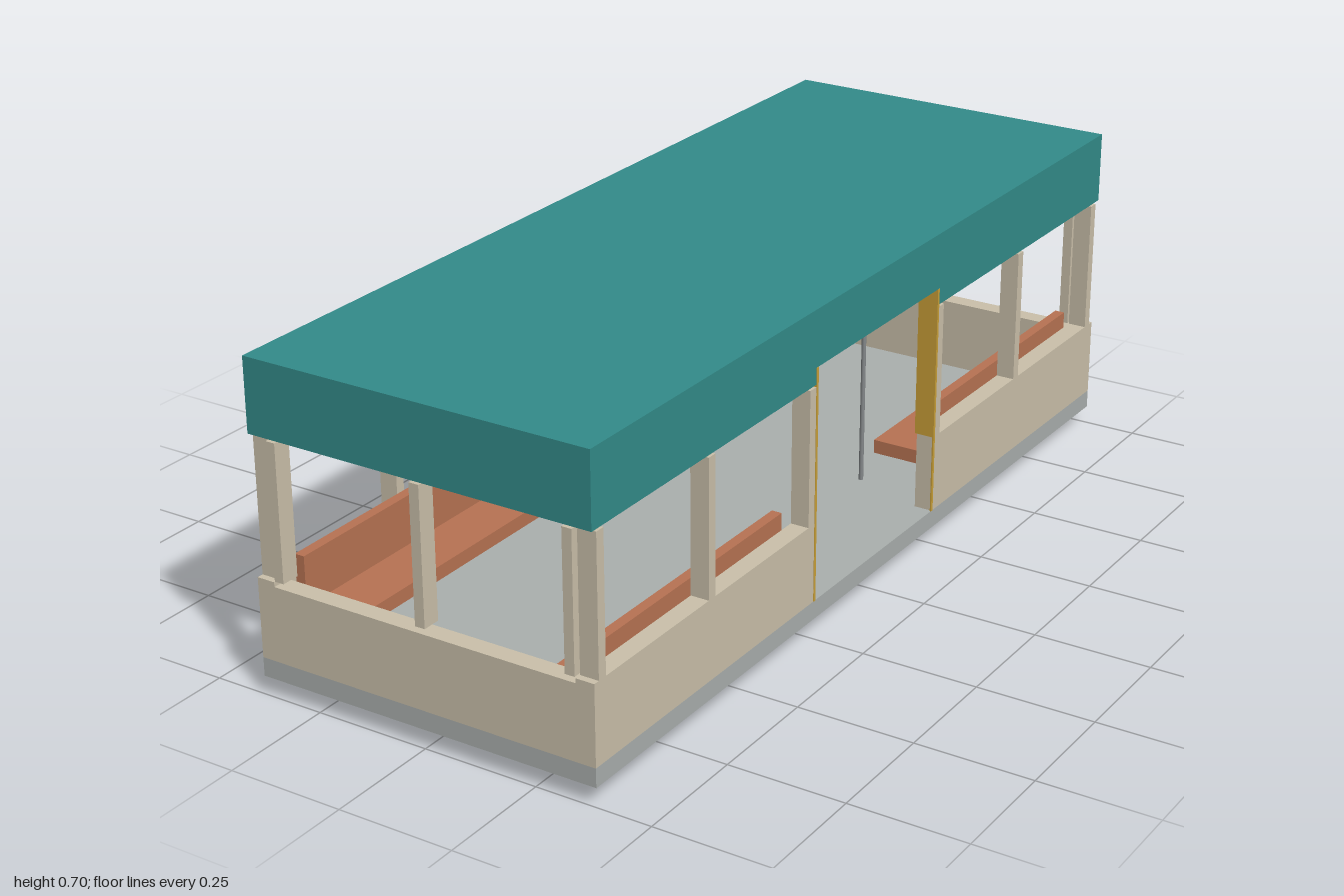
import * as THREE from 'three';

const mat = (name, color) => {
  const m = new THREE.MeshStandardMaterial({ color });
  m.name = name;
  return m;
};

export function createModel() {
  const teal = mat('teal roof paint', 0x338c8a);
  const cream = mat('cream body paint', 0xcbc1ab);
  const grey = mat('grey floor', 0xabb0ae);
  const rust = mat('rust bench wood', 0xb87353);
  const amber = mat('amber door trim', 0xc99f38);
  const steel = mat('steel pole', 0x85898b);
  const rubber = mat('dark rubber', 0x33393a);

  const group = new THREE.Group();
  const W = 0.383, L = 1, DOOR = 0.243, IN = 0.343;

  // Box given by its two extreme corners
  const box = (name, material, x0, x1, y0, y1, z0, z1) => {
    const mesh = new THREE.Mesh(
      new THREE.BoxGeometry(Math.abs(x1 - x0), y1 - y0, Math.abs(z1 - z0)), material);
    mesh.position.set((x0 + x1) / 2, (y0 + y1) / 2, (z0 + z1) / 2);
    mesh.name = name;
    group.add(mesh);
  };

  // Floor and hollow roof
  box('floor', grey, -W, W, 0.04, 0.08, -L, L);
  box('roofPanel', teal, -W, W, 0.67, 0.7, -L, L);

  for (const z of [-1, 1]) {
    // End wall, its centre post and the roof skirt above
    box('endWall', cream, -IN, IN, 0.08, 0.24, z * 0.96, z * L);
    box('endCentrePost', cream, -0.011, 0.011, 0.252, 0.54, z * 0.96, z * L);
    box('endRoofSkirt', teal, -IN, IN, 0.545, 0.67, z * 0.96, z * L);
    box('ceilingLight', cream, -0.03, 0.03, 0.66, 0.67, z * 0.39, z * 0.81);
  }

  for (const x of [-1, 1]) {
    // Skirt above the doorway
    box('doorRoofSkirt', teal, x * IN, x * W, 0.58, 0.67, -DOOR, DOOR);

    for (const z of [-1, 1]) {
      // Side wall and roof skirt beside the doorway
      box('sideWall', cream, x * IN, x * W, 0.08, 0.25, z * DOOR, z * L);
      box('sideRoofSkirt', teal, x * IN, x * W, 0.545, 0.67, z * DOOR, z * L);

      // Window posts along the side, and the end post at the corner
      for (const pz of [0.257, 0.617, 0.975]) {
        box('sidePost', cream, x * IN, x * W, 0.25, 0.54, z * (pz - 0.011), z * (pz + 0.011));
      }
      box('cornerEndPost', cream, x * 0.32, x * 0.341, 0.252, 0.54, z * 0.96, z * L);

      // Door trim: upper jamb plate and a slim full-height edge
      box('doorJambTrim', amber, x * 0.34, x * W, 0.25, 0.58, z * 0.239, z * 0.246);
      box('doorEdgeTrim', amber, x * 0.381, x * 0.384, 0.08, 0.58, z * 0.239, z * 0.246);

      // Bench along the wall
      box('benchSeat', rust, x * 0.21, x * 0.341, 0.15, 0.18, z * 0.3, z * 0.94);
      box('benchBack', rust, x * 0.319, x * 0.341, 0.18, 0.285, z * 0.3, z * 0.94);

      // Wheel
      const wheel = new THREE.Mesh(new THREE.CylinderGeometry(0.021, 0.021, 0.04, 12), rubber);
      wheel.rotation.z = Math.PI / 2;
      wheel.position.set(x * 0.29, 0.021, z * 0.73);
      wheel.name = 'wheel';
      group.add(wheel);
    }

    // Grab pole
    const pole = new THREE.Mesh(new THREE.CylinderGeometry(0.005, 0.005, 0.59, 10), steel);
    pole.position.set(x * 0.18, 0.375, -0.3);
    pole.name = 'grabPole';
    group.add(pole);
  }

  return group;
}
